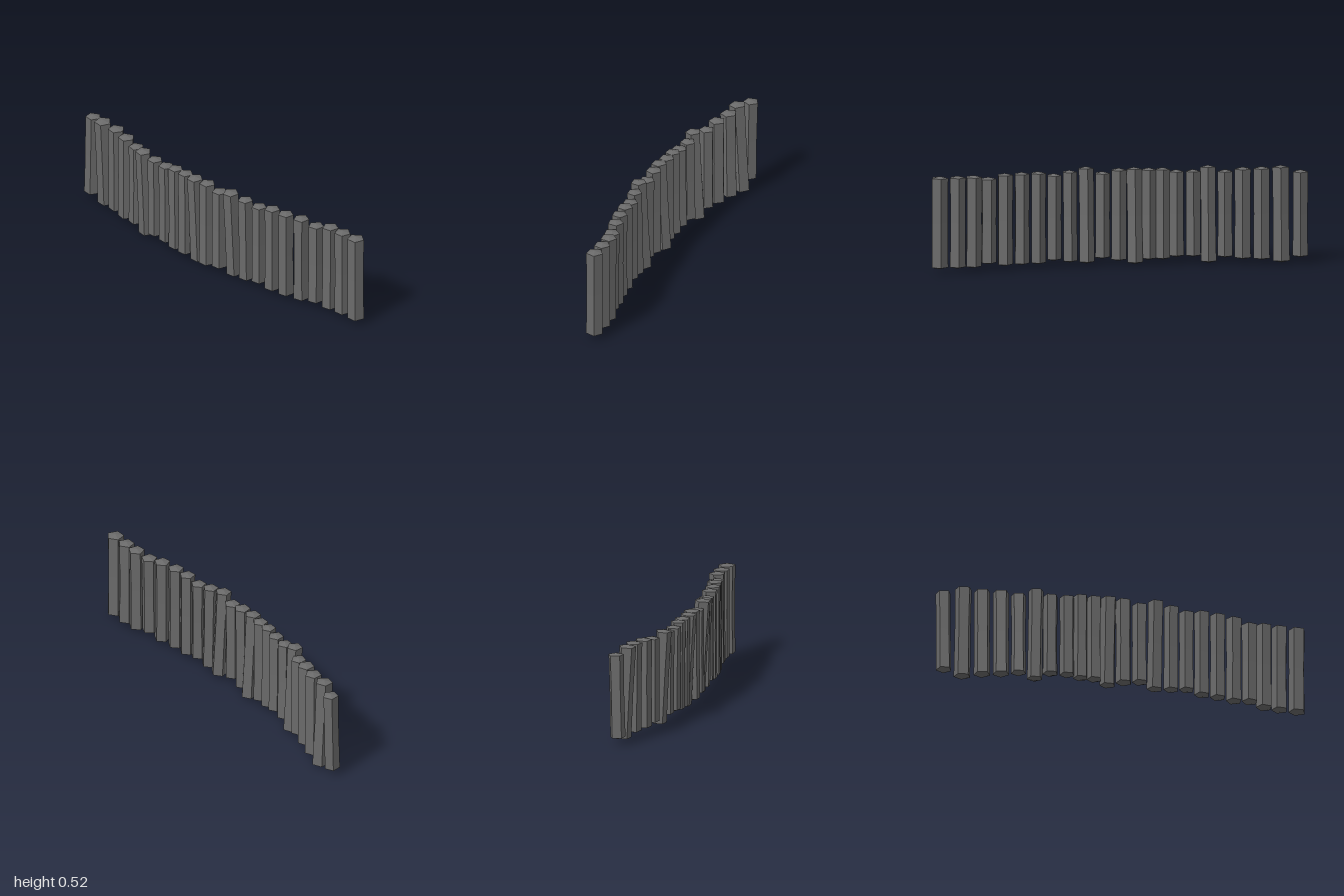
import * as THREE from 'three';

// One entry per post: x, z at the top, z at the foot, foot height, top height, radius
const POSTS = [
  [-0.96, -0.075, -0.065, 0.03, 0.495, 0.042],
  [-0.86, -0.04, -0.067, 0.005, 0.517, 0.046],
  [-0.76, -0.035, -0.04, 0.018, 0.512, 0.045],
  [-0.665, -0.01, -0.01, 0.02, 0.508, 0.045],
  [-0.575, 0.01, 0.01, 0.028, 0.495, 0.041],
  [-0.49, 0.05, 0.022, 0.0, 0.515, 0.042],
  [-0.41, 0.045, 0.04, 0.032, 0.495, 0.041],
  [-0.322, 0.055, 0.05, 0.032, 0.495, 0.041],
  [-0.25, 0.06, 0.055, 0.02, 0.508, 0.04],
  [-0.177, 0.062, 0.06, 0.02, 0.508, 0.041],
  [-0.1, 0.073, 0.045, 0.002, 0.512, 0.043],
  [-0.018, 0.066, 0.068, 0.018, 0.51, 0.043],
  [0.07, 0.067, 0.068, 0.032, 0.495, 0.042],
  [0.157, 0.076, 0.047, 0.012, 0.523, 0.043],
  [0.246, 0.06, 0.05, 0.02, 0.508, 0.041],
  [0.332, 0.046, 0.046, 0.032, 0.495, 0.041],
  [0.418, 0.038, 0.038, 0.018, 0.51, 0.042],
  [0.507, 0.03, 0.03, 0.018, 0.51, 0.042],
  [0.6, 0.012, 0.012, 0.018, 0.51, 0.043],
  [0.69, -0.005, 0, 0.032, 0.495, 0.043],
  [0.774, -0.025, -0.02, 0.018, 0.51, 0.044],
  [0.86, -0.026, -0.026, 0.018, 0.51, 0.044],
  [0.955, -0.025, -0.025, 0.018, 0.51, 0.046],
];
const CAP = 0.01;

// Five-sided post with a slight waist and shallow pointed ends
function makePost(h, r) {
  const profile = [
    [0, -h / 2], [r, -h / 2 + CAP], [r * 0.95, 0], [r, h / 2 - CAP], [0, h / 2],
  ].map(([x, y]) => new THREE.Vector2(x, y));
  return new THREE.LatheGeometry(profile, 5, Math.PI);
}

export function createModel() {
  const group = new THREE.Group();
  group.name = 'palisade';
  const stone = new THREE.MeshStandardMaterial({ color: 0x6a6a6a, flatShading: true });
  stone.name = 'dark grey';

  POSTS.forEach(([x, zTop, zFoot, y0, y1, r], i) => {
    const h = y1 - y0;
    const post = new THREE.Mesh(makePost(h, r), stone);
    post.name = `post${i + 1}`;
    post.position.set(x, (y0 + y1) / 2, (zTop + zFoot) / 2);
    // Lean fore and aft, and turn to follow the curve of the row
    const a = POSTS[Math.max(i - 1, 0)], b = POSTS[Math.min(i + 1, POSTS.length - 1)];
    const slope = (b[1] + b[2] - a[1] - a[2]) / 2 / (b[0] - a[0]);
    post.rotation.set(Math.atan2(zTop - zFoot, h), -Math.atan(slope), 0);
    group.add(post);
  });
  return group;
}
